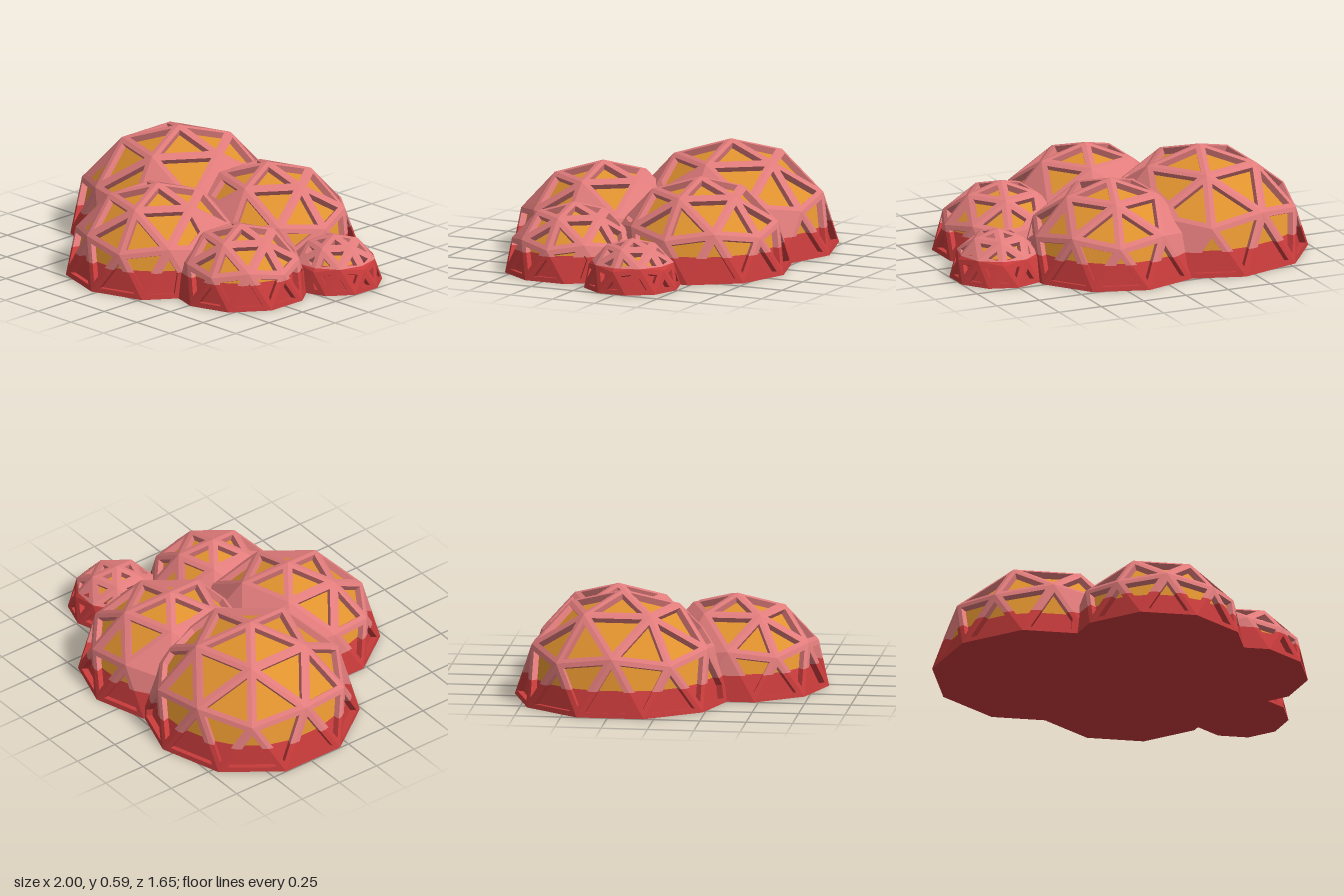
import * as THREE from 'three';

const V = (x, y, z) => new THREE.Vector3(x, y, z);
const RIM = 0.026;      // half width of a strut
const DEPTH = 0.035;    // recess of the panels
const BAND = 0.136;     // top of the red footing

// x, z, radius of each dome
const DOMES = [
  ['largeDome', -0.44, -0.235, 0.586],
  ['backDome', 0.135, -0.335, 0.495],
  ['frontDome', -0.03, 0.327, 0.495],
  ['sideDome', 0.51, 0.235, 0.375],
  ['smallDome', 0.75, -0.23, 0.262],
];

// Split a convex polygon by the plane n.p = c into [n.p <= c, n.p > c]
function split(poly, n, c) {
  const a = [], b = [];
  poly.forEach((p, i) => {
    const q = poly[(i + 1) % poly.length];
    const dp = n.dot(p) - c, dq = n.dot(q) - c;
    (dp <= 0 ? a : b).push(p);
    if ((dp <= 0) !== (dq <= 0)) {
      const m = p.clone().lerp(q, dp / (dp - dq));
      a.push(m);
      b.push(m);
    }
  });
  return [a.length > 2 ? a : [], b.length > 2 ? b : []];
}

function areaVector(poly) {
  const s = V(0, 0, 0);
  for (let i = 1; i + 1 < poly.length; i++) {
    s.add(poly[i].clone().sub(poly[0]).cross(poly[i + 1].clone().sub(poly[0])));
  }
  return s.multiplyScalar(0.5);
}

// Upper half of a two-frequency geodesic sphere, one tip straight up
function geodesicFaces() {
  const h = 1 / Math.sqrt(5);
  const ring = (y, turn) => [0, 1, 2, 3, 4].map((k) => {
    const t = (k + turn) * Math.PI * 0.4;
    return V(2 * h * Math.cos(t), y, 2 * h * Math.sin(t));
  });
  const top = V(0, 1, 0), up = ring(h, 0), low = ring(-h, 0.5);
  const faces = [];
  const subdivide = (a, b, c) => {
    const mid = (p, q) => p.clone().add(q).normalize();
    const ab = mid(a, b), bc = mid(b, c), ca = mid(c, a);
    for (const f of [[a, ab, ca], [ab, b, bc], [ca, bc, c], [ab, bc, ca]]) {
      if (f.some((p) => p.y < -0.001)) continue;
      if (areaVector(f).dot(f[0]) < 0) f.reverse();
      faces.push(f);
    }
  };
  for (let k = 0; k < 5; k++) {
    const n = (k + 1) % 5;
    subdivide(top, up[k], up[n]);
    subdivide(up[k], up[n], low[k]);
    subdivide(low[k], low[n], up[n]);
  }
  return faces;
}

// Vertical seam planes where a dome meets its neighbours
function seamsOf(dome) {
  const [, x, z, r] = dome, seams = [];
  for (const other of DOMES) {
    const dir = V(other[1] - x, 0, other[2] - z), d = dir.length();
    if (other === dome || d >= r + other[3]) continue;
    dir.divideScalar(d);
    seams.push({ n: dir, c: (d * d + r * r - other[3] ** 2) / (2 * d) });
  }
  return seams;
}

function meshFrom(name, polys, material) {
  const pos = [];
  for (const p of polys) {
    for (let i = 1; i + 1 < p.length; i++) {
      for (const v of [p[0], p[i], p[i + 1]]) pos.push(v.x, v.y, v.z);
    }
  }
  const g = new THREE.BufferGeometry();
  g.setAttribute('position', new THREE.Float32BufferAttribute(pos, 3));
  g.computeVertexNormals();
  const mesh = new THREE.Mesh(g, material);
  mesh.name = name;
  return mesh;
}

function makeDome(dome, mats) {
  const [name, x, z, r] = dome;
  const struts = [], panels = [], footing = [];
  const seams = seamsOf(dome), yAxis = V(0, 1, 0);
  const add = (list, poly) => {
    const [below, above] = split(poly, yAxis, BAND);
    if (below.length) footing.push(below);
    if (above.length) list.push(above);
  };

  for (const unit of geodesicFaces()) {
    const tri = unit.map((p) => p.clone().multiplyScalar(r));
    // skip faces buried inside a neighbour
    if (seams.some((s) => tri.every((p) => s.n.dot(p) > s.c + 0.05))) continue;
    const full = areaVector(tri), normal = full.clone().normalize();

    // share of the face that stays outside the neighbours
    let open = tri;
    for (const s of seams) open = split(open, s.n, s.c)[0];
    const share = areaVector(open).length() / full.length();

    // window: the face inset from its edges and from the seams
    let win = share > 0.72 ? tri : [];
    tri.forEach((p, i) => {
      const out = tri[(i + 1) % 3].clone().sub(p).cross(normal).normalize();
      win = split(win, out, out.dot(p) - RIM)[0];
    });
    for (const s of seams) win = split(win, s.n, s.c - RIM)[0];

    // frame: whatever lies outside each window edge
    let rest = tri;
    win.forEach((p, i) => {
      const q = win[(i + 1) % win.length];
      const out = q.clone().sub(p).cross(normal).normalize();
      const [inside, outside] = split(rest, out, out.dot(p));
      if (outside.length) add(struts, outside);
      rest = inside;
    });
    if (!win.length) {
      add(struts, tri);
      continue;
    }

    // recessed panel and the walls around it
    const back = win.map((p) => p.clone().addScaledVector(normal, -DEPTH));
    add(panels, back);
    win.forEach((p, i) => {
      const j = (i + 1) % win.length;
      add(struts, [p, win[j], back[j], back[i]]);
    });
  }

  const group = new THREE.Group();
  group.name = name;
  group.position.set(x, 0, z);
  group.add(
    meshFrom('struts', struts, mats.pink),
    meshFrom('panels', panels, mats.amber),
    meshFrom('footing', footing, mats.red),
  );

  // ten-sided floor facing down
  const floor = new THREE.Mesh(
    new THREE.CircleGeometry(r, 10, Math.PI / 10).rotateX(Math.PI / 2), mats.red);
  floor.name = 'floor';
  group.add(floor);
  return group;
}

export function createModel() {
  const material = (name, color) => {
    const m = new THREE.MeshStandardMaterial({ color });
    m.name = name;
    return m;
  };
  const mats = {
    pink: material('pink frame', 0xe27c7c),
    amber: material('amber panel', 0xe0922f),
    red: material('red footing', 0xcb3c3c),
  };
  const model = new THREE.Group();
  model.name = 'domeCluster';
  for (const dome of DOMES) model.add(makeDome(dome, mats));
  return model;
}
